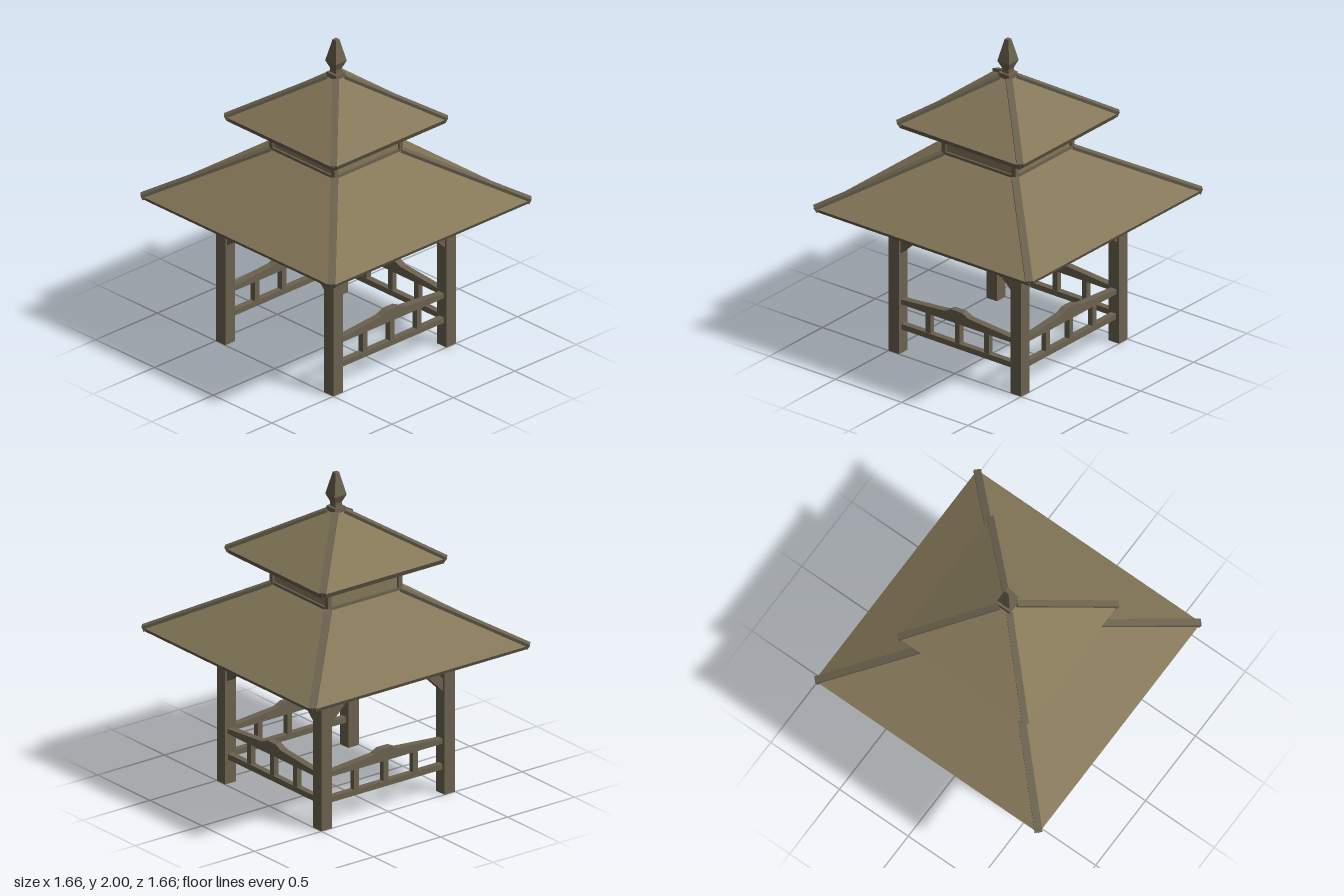
import * as THREE from 'three';

const wood = new THREE.MeshStandardMaterial({ color: 0x6b624f, flatShading: true });
const thatch = new THREE.MeshStandardMaterial({ color: 0x857859, flatShading: true });

function add(parent, name, geometry, material = wood) {
  const mesh = new THREE.Mesh(geometry, material);
  mesh.name = name;
  parent.add(mesh);
  return mesh;
}

// Box given by its centre and size
function box(parent, name, x, y, z, w, h, d, material = wood) {
  const mesh = add(parent, name, new THREE.BoxGeometry(w, h, d), material);
  mesh.position.set(x, y, z);
  return mesh;
}

// Four-sided turned form from [half width, height] points, listed bottom to top
function square(parent, name, profile, material = wood) {
  const points = profile.map(([half, y]) => new THREE.Vector2(half * Math.SQRT2, y));
  const geometry = new THREE.LatheGeometry(points, 4, Math.PI / 4).toNonIndexed();
  geometry.computeVertexNormals();
  return add(parent, name, geometry, material);
}

// Flat outline in x/y with a thickness centred on z = 0
function slab(parent, name, outline, depth) {
  const shape = new THREE.Shape(outline.map(([x, y]) => new THREE.Vector2(x, y)));
  const geometry = new THREE.ExtrudeGeometry(shape, { depth, bevelEnabled: false });
  geometry.translate(0, 0, -depth / 2);
  return add(parent, name, geometry);
}

// Square beam running from a to b
function beam(parent, name, a, b, width, height) {
  const mesh = add(parent, name, new THREE.BoxGeometry(width, height, a.distanceTo(b)));
  mesh.position.copy(a).lerp(b, 0.5);
  mesh.lookAt(b);
  return mesh;
}

// One roof tier: eave, sloping cover and four hip beams
function roof(name, eave, [outer, low], [inner, high], hipWidth) {
  const tier = new THREE.Group();
  tier.name = name;
  square(tier, 'eave', eave);
  square(tier, 'roofCover', [[outer, low], [inner, high], [0, high]], thatch);
  for (const sx of [-1, 1]) {
    for (const sz of [-1, 1]) {
      const foot = new THREE.Vector3(sx * (outer - 0.005), low - 0.004, sz * (outer - 0.005));
      const top = new THREE.Vector3(sx * inner, high - 0.006, sz * inner);
      beam(tier, 'hipBeam', foot, top, hipWidth, 0.034);
    }
  }
  return tier;
}

// Railing between two posts
function railing() {
  const rail = new THREE.Group();
  rail.name = 'railing';
  box(rail, 'lowerRail', 0, 0.173, 0, 0.85, 0.035, 0.04);
  slab(rail, 'handRail', [
    [-0.425, 0.32], [0.425, 0.32], [0.425, 0.35], [0.09, 0.377],
    [0.04, 0.4], [-0.04, 0.4], [-0.09, 0.377], [-0.425, 0.35],
  ], 0.045);
  for (const x of [-0.22, 0, 0.22]) box(rail, 'baluster', x, 0.255, 0, 0.036, 0.135, 0.035);
  return rail;
}

export function createModel() {
  const model = new THREE.Group();
  model.name = 'gardenPavilion';
  const ceiling = 1.0;

  // Corner posts
  for (const x of [-0.46, 0.46]) {
    for (const z of [-0.46, 0.46]) box(model, 'post', x, ceiling / 2, z, 0.08, ceiling, 0.08);
  }

  // Sides in order front, +x, back, -x; the last one is the open entrance
  for (let i = 0; i < 4; i++) {
    const side = new THREE.Group();
    side.name = 'side';
    const place = new THREE.Group();
    place.position.z = 0.46;
    side.add(place);
    for (const s of [-1, 1]) {
      const outline = [[0.425, 0.65], [0.425, 0.73], [0.15, ceiling], [0.07, ceiling]];
      slab(place, 'brace', outline.map(([x, y]) => [s * x, y]), 0.055);
    }
    if (i < 3) place.add(railing());
    side.rotation.y = i * Math.PI / 2;
    model.add(side);
  }

  // Lower roof with a recessed ceiling
  model.add(roof('lowerRoof',
    [[0, ceiling], [0.62, ceiling], [0.62, 0.93], [0.805, 0.93], [0.815, 0.953]],
    [0.815, 0.953], [0.27, 1.275], 0.045));

  // Lantern storey: inset panels in a frame
  const lantern = new THREE.Group();
  lantern.name = 'lantern';
  box(lantern, 'panels', 0, 1.36, 0, 0.53, 0.2, 0.53, thatch);
  for (const x of [-0.264, 0.264]) {
    for (const z of [-0.264, 0.264]) box(lantern, 'cornerPost', x, 1.362, z, 0.028, 0.19, 0.028);
  }
  for (const s of [-1, 1]) {
    box(lantern, 'sill', 0, 1.278, s * 0.264, 0.5, 0.02, 0.026);
    box(lantern, 'sill', s * 0.264, 1.278, 0, 0.026, 0.02, 0.5);
  }
  model.add(lantern);

  // Upper roof
  model.add(roof('upperRoof',
    [[0, 1.45], [0.452, 1.45], [0.467, 1.483]],
    [0.467, 1.483], [0.035, 1.757], 0.04));

  // Finial
  square(model, 'finial', [
    [0.04, 1.745], [0.04, 1.785], [0.025, 1.785], [0.025, 1.812],
    [0.045, 1.86], [0.014, 2], [0, 2],
  ]);
  return model;
}
